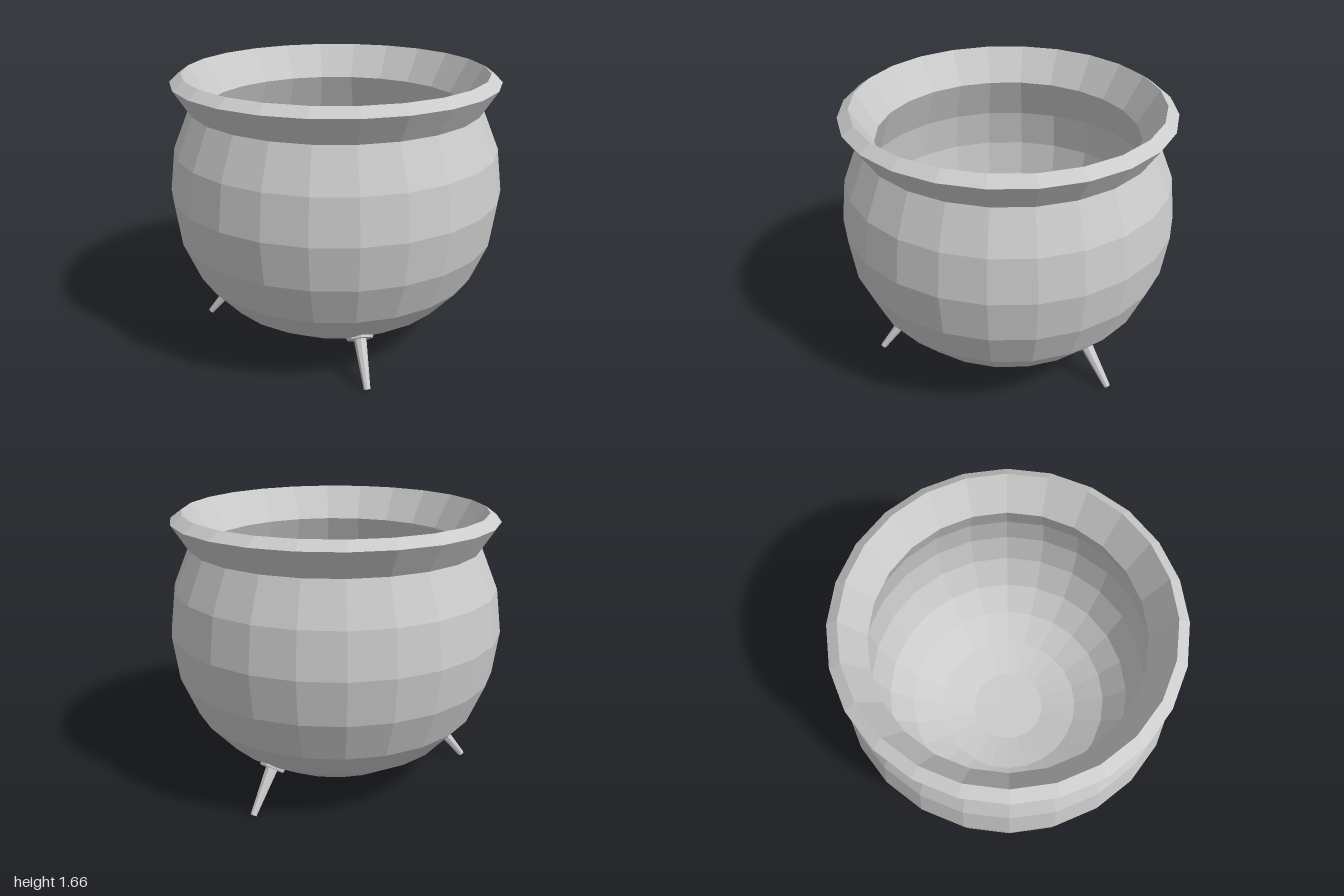
import * as THREE from 'three';

const grey = new THREE.MeshStandardMaterial({ color: 0xcccccc, flatShading: true });
const SIDES = 24;

function part(name, geometry) {
  const mesh = new THREE.Mesh(geometry, grey);
  mesh.name = name;
  return mesh;
}

function lathe(name, profile) {
  return part(name, new THREE.LatheGeometry(profile.map(([r, y]) => new THREE.Vector2(r, y)), SIDES));
}

// Tapered leg with a flange where it meets the bowl; local +y runs from foot to bowl
function leg(name, degrees) {
  const a = THREE.MathUtils.degToRad(degrees);
  const at = (r, y) => new THREE.Vector3(r * Math.cos(a), y, r * Math.sin(a));
  const foot = at(0.842, 0.014), mount = at(0.655, 0.248);
  const length = foot.distanceTo(mount);
  const group = new THREE.Group();
  group.name = name;

  const shaft = part('legShaft', new THREE.CylinderGeometry(0.038, 0.019, length, 8));
  shaft.position.y = length / 2;
  const flange = part('legFlange', new THREE.CylinderGeometry(0.082, 0.076, 0.03, 8));
  flange.position.y = length;
  group.add(shaft, flange);

  group.position.copy(foot);
  group.quaternion.setFromUnitVectors(new THREE.Vector3(0, 1, 0), mount.clone().sub(foot).normalize());
  return group;
}

export function createModel() {
  const model = new THREE.Group();
  model.name = 'cauldron';

  // Outer bowl, flattened underneath
  model.add(lathe('bowlOutside', [
    [0, 0.075], [0.259, 0.08], [0.5, 0.15], [0.707, 0.28], [0.866, 0.46],
    [0.966, 0.70], [1, 0.96], [0.966, 1.22], [0.866, 1.46],
  ]));

  // Flared lip with a bevelled rim
  model.add(lathe('lip', [[0.866, 1.46], [0.966, 1.617], [0.9, 1.665], [0.773, 1.46]]));

  // Inside wall, running down from the neck so its faces look inward
  model.add(lathe('bowlInside', [
    [0.773, 1.46], [0.87, 1.2], [0.9, 0.96], [0.87, 0.73], [0.78, 0.51],
    [0.645, 0.35], [0.46, 0.24], [0.235, 0.18], [0, 0.175],
  ]));

  // Three splayed legs
  model.add(leg('leftLeg', 40), leg('rightLeg', 148.8), leg('backLeg', 277.5));
  return model;
}
